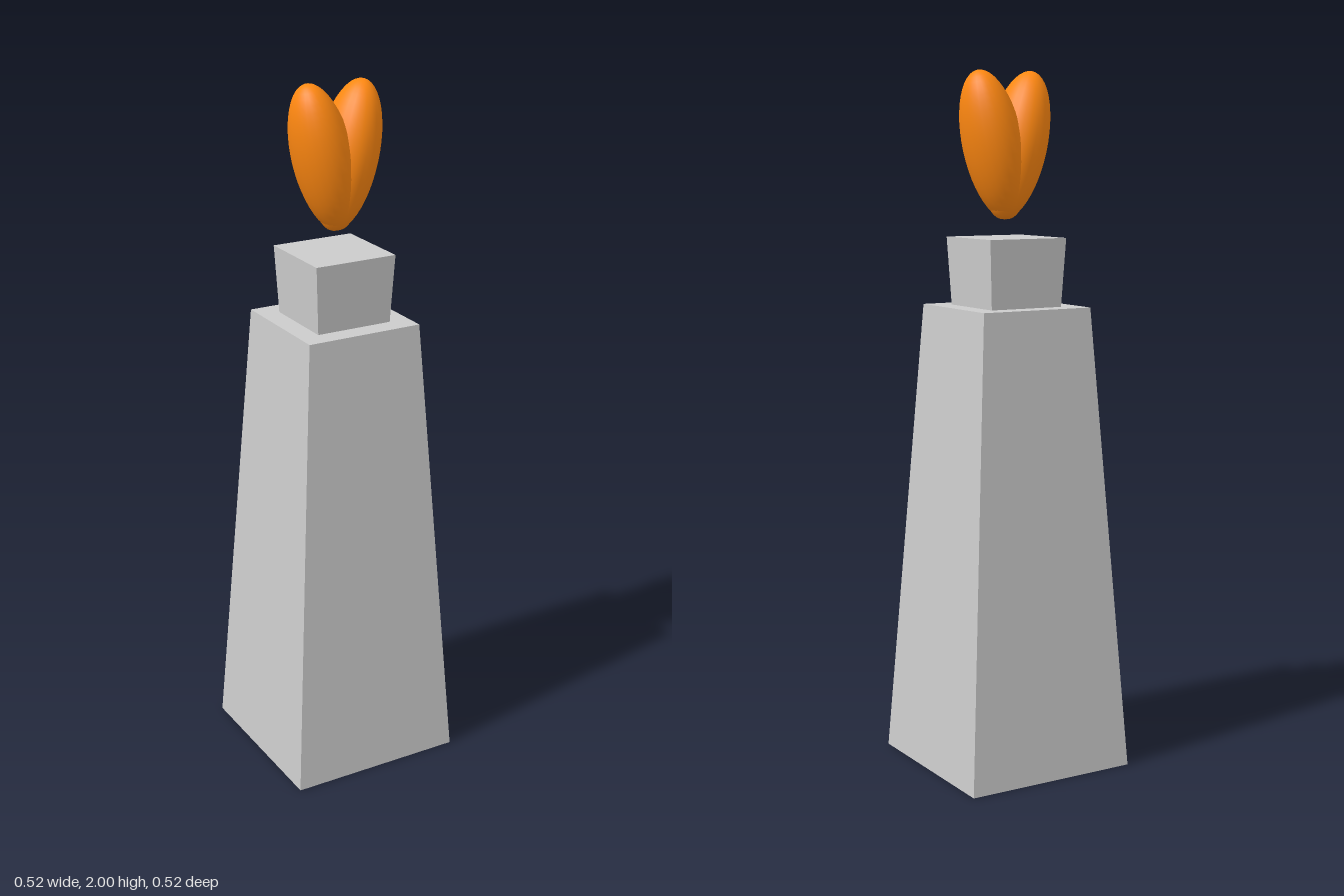
import * as THREE from 'three';

const stone = new THREE.MeshStandardMaterial({ color: 0xcccccc, flatShading: true });
const fire = new THREE.MeshStandardMaterial({ color: 0xff8811 });

// Square tapered block; half widths at bottom and top
function taperedBlock(name, bottomHalf, topHalf, y0, y1) {
  const geo = new THREE.CylinderGeometry(topHalf * Math.SQRT2, bottomHalf * Math.SQRT2, y1 - y0, 4);
  geo.rotateY(Math.PI / 4);
  const mesh = new THREE.Mesh(geo, stone);
  mesh.name = name;
  mesh.position.y = (y0 + y1) / 2;
  return mesh;
}

export function createModel() {
  const model = new THREE.Group();
  model.name = 'torchPillar';

  // Pillar and flared head
  model.add(taperedBlock('pillar', 0.26, 0.174, 0, 1.34));
  model.add(taperedBlock('head', 0.114, 0.124, 1.34, 1.535));

  // Floating flame: two ellipsoid lobes leaning apart
  const flame = new THREE.Group();
  flame.name = 'flame';
  flame.position.set(0.013, 1.793, -0.0165);
  const lobeGeo = new THREE.SphereGeometry(1, 24, 24);
  for (const side of [-1, 1]) {
    const lobe = new THREE.Mesh(lobeGeo, fire);
    lobe.name = side > 0 ? 'leftFlameLobe' : 'rightFlameLobe';
    lobe.scale.set(0.083, 0.212, 0.0965);
    lobe.position.x = side * 0.038;
    lobe.rotation.z = -side * 0.243;
    flame.add(lobe);
  }
  model.add(flame);

  return model;
}
